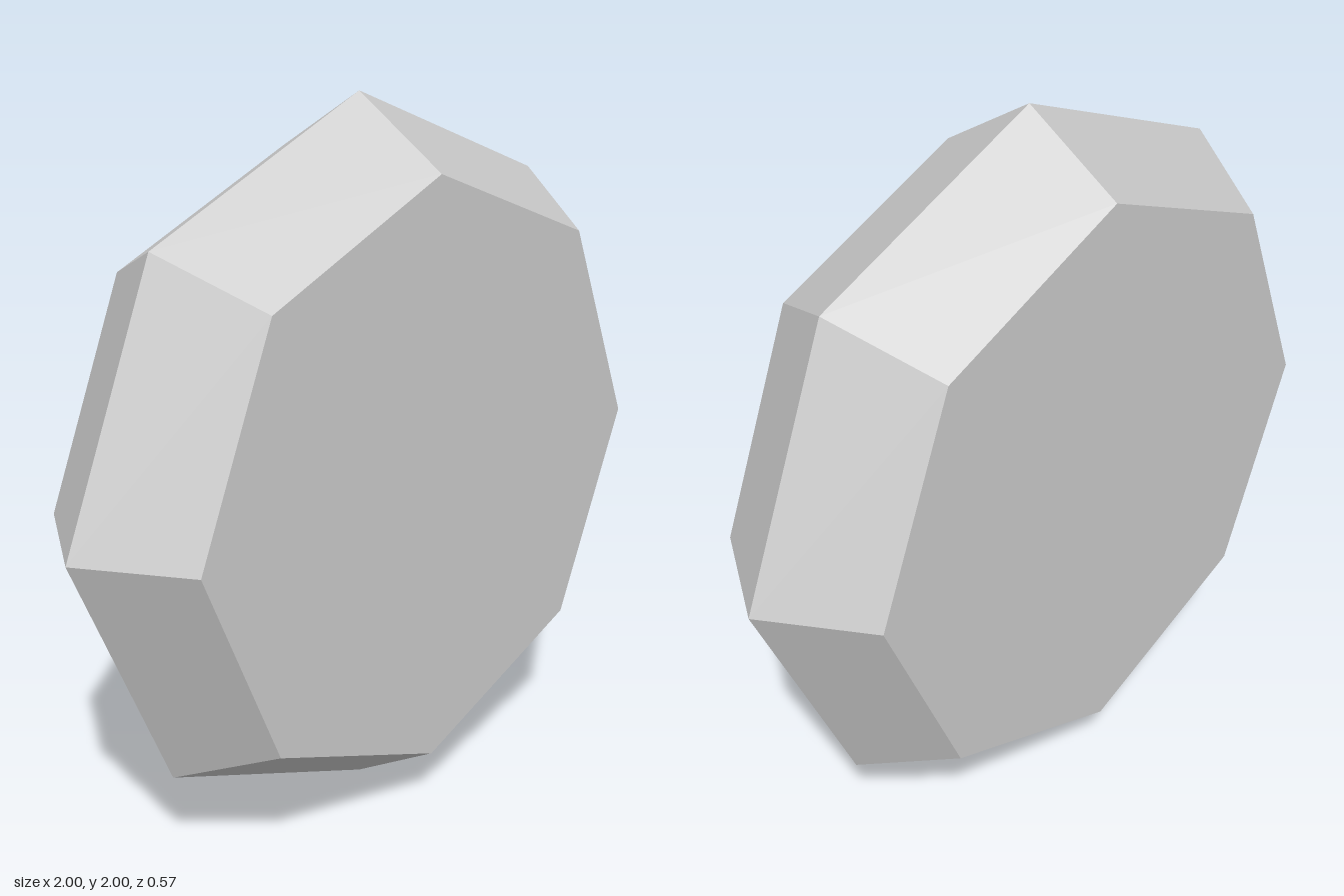
import * as THREE from 'three';

export function createModel() {
  const group = new THREE.Group();
  const grey = new THREE.MeshStandardMaterial({ color: 0xcccccc, flatShading: true });
  grey.name = 'plain grey';

  // Half cross-section: flat face, bevel out to the rim, bevel back, flat face
  const faceRadius = 0.825, rimRadius = 1, halfDepth = 0.283;
  const profile = [
    [0, -halfDepth], [faceRadius, -halfDepth], [rimRadius, 0],
    [faceRadius, halfDepth], [0, halfDepth],
  ].map(([r, y]) => new THREE.Vector2(r, y));

  // Eight-sided bevelled disc, stood upright with a corner at the top
  const geometry = new THREE.LatheGeometry(profile, 8).toNonIndexed();
  geometry.computeVertexNormals();
  geometry.rotateX(Math.PI / 2);
  geometry.translate(0, 1, 0);

  const disc = new THREE.Mesh(geometry, grey);
  disc.name = 'bevelledOctagonDisc';
  group.add(disc);
  return group;
}
